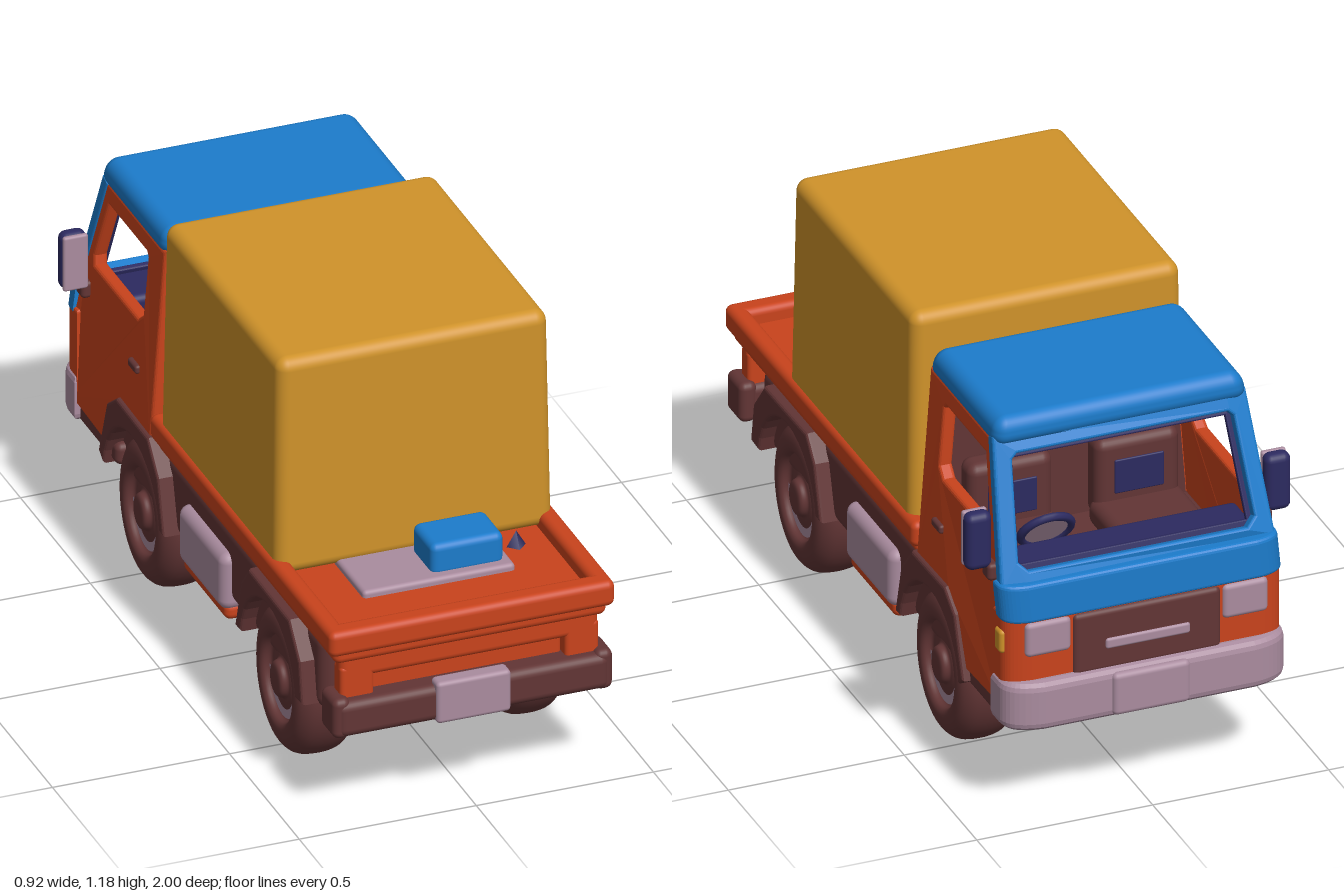
import * as THREE from 'three';
import { RoundedBoxGeometry } from 'three/addons/geometries/RoundedBoxGeometry.js';

const mat = (name, color) => {
  const m = new THREE.MeshStandardMaterial({ color });
  m.name = name;
  return m;
};

export function createModel() {
  const truck = new THREE.Group();
  truck.name = 'truck';
  const orange = mat('orange paint', 0xc9431c);
  const blue = mat('blue paint', 0x1c7ccc);
  const ochre = mat('ochre canvas', 0xd0932a);
  const brown = mat('dark brown', 0x623535);
  const grey = mat('mauve grey', 0xaa8c9f);
  const navy = mat('navy', 0x2c2a60);

  const add = (name, geo, material, parent = truck) => {
    const m = new THREE.Mesh(geo, material);
    m.name = name;
    parent.add(m);
    return m;
  };
  // Rounded box given by its min and max on each axis
  const box = (name, material, [x0, x1], [y0, y1], [z0, z1], r = 0.012) => {
    const w = x1 - x0, h = y1 - y0, d = z1 - z0;
    const g = new RoundedBoxGeometry(w, h, d, 3, Math.min(r, w * 0.45, h * 0.45, d * 0.45));
    g.translate((x0 + x1) / 2, (y0 + y1) / 2, (z0 + z1) / 2);
    return add(name, g, material);
  };
  // A box on each side of the truck
  const pair = (name, material, [x0, x1], y, z, r) => {
    box(name + 'Left', material, [x0, x1], y, z, r);
    box(name + 'Right', material, [-x1, -x0], y, z, r);
  };
  const shapeOf = (pts, hole) => {
    const s = new THREE.Shape(pts.map(p => new THREE.Vector2(...p)));
    if (hole) s.holes.push(new THREE.Path(hole.map(p => new THREE.Vector2(...p))));
    return s;
  };
  const extrude = (shape, depth, b = 0.01) => new THREE.ExtrudeGeometry(shape, {
    depth: depth - 2 * b, bevelEnabled: true, bevelSize: b, bevelThickness: b,
    bevelOffset: -b, bevelSegments: 3, curveSegments: 10,
  }).translate(0, 0, b);
  // Side profile in (z, y), extruded from x0 to x1
  const profile = (pts, x0, x1, hole) =>
    extrude(shapeOf(pts, hole), x1 - x0).rotateY(-Math.PI / 2).translate(x1, 0, 0);
  // Plan with rounded front corners, extruded from y0 to y1
  const plan = (hw, zFront, zBack, r, y0, y1, b) => {
    const s = new THREE.Shape();
    s.moveTo(-hw, zBack);
    s.lineTo(-hw, zFront + r);
    s.quadraticCurveTo(-hw, zFront + r * 0.15, -hw + r * 1.3, zFront);
    s.lineTo(hw - r * 1.3, zFront);
    s.quadraticCurveTo(hw, zFront + r * 0.15, hw, zFront + r);
    s.lineTo(hw, zBack);
    return extrude(s, y1 - y0, b).rotateX(Math.PI / 2).translate(0, y1, 0);
  };
  // Apply a rule to every vertex
  const warp = (g, rule) => {
    const p = g.attributes.position, v = new THREE.Vector3();
    for (let i = 0; i < p.count; i++) {
      rule(v.fromBufferAttribute(p, i));
      p.setXYZ(i, v.x, v.y, v.z);
    }
    return g;
  };
  // Lean the upper cab inwards
  const lean = g => {
    warp(g, v => { v.x -= Math.sign(v.x) * Math.max(0, v.y - 0.55) * 0.08; });
    g.computeVertexNormals();
    return g;
  };

  // Chassis and underside
  box('chassis', brown, [-0.365, 0.365], [0.25, 0.48], [-0.62, 0.82], 0.04);
  box('cabFloor', brown, [-0.385, 0.385], [0.27, 0.335], [-0.92, -0.6], 0.02);
  box('cabBase', brown, [-0.358, 0.358], [0.3, 0.55], [-0.88, -0.34]);
  for (const z of [0.535, -0.445]) {
    const axle = new THREE.CylinderGeometry(0.06, 0.06, 0.5, 20).rotateZ(Math.PI / 2);
    add('axle', axle.translate(0, 0.21, z), brown);
  }
  pair('sideTank', grey, [0.26, 0.394], [0.23, 0.4], [-0.15, 0.175], 0.03);
  pair('tankTray', orange, [0.24, 0.38], [0.2, 0.25], [-0.145, 0.17], 0.02);

  // Load bed with raised rim
  box('bedFloor', orange, [-0.385, 0.385], [0.475, 0.535], [-0.31, 0.965], 0.02);
  pair('bedRim', orange, [0.35, 0.403], [0.505, 0.58], [-0.325, 0.98], 0.02);
  box('bedRimRear', orange, [-0.4, 0.4], [0.505, 0.58], [0.915, 0.98], 0.02);
  box('bedRimFront', orange, [-0.4, 0.4], [0.505, 0.58], [-0.325, -0.27], 0.02);
  box('bedPlate', grey, [-0.22, 0.21], [0.52, 0.555], [0.5, 0.75]);
  box('toolBox', blue, [-0.015, 0.19], [0.54, 0.635], [0.575, 0.72], 0.02);
  add('bedHook', new THREE.ConeGeometry(0.03, 0.05, 4).translate(0.26, 0.555, 0.625), navy);

  // Covered load, narrowing slightly upwards
  const load = new RoundedBoxGeometry(0.783, 0.64, 0.85, 5, 0.035).translate(0, 0.855, 0.14);
  add('canvasLoad', warp(load, v => {
    const k = 1 - 0.025 * (v.y - 0.535) / 0.64;
    v.x *= k;
    v.z = 0.14 + (v.z - 0.14) * k;
  }), ochre);

  // Tail end
  box('tailPanel', orange, [-0.365, 0.365], [0.42, 0.51], [0.9, 0.955], 0.02);
  box('tailRecess', orange, [-0.27, 0.27], [0.34, 0.44], [0.88, 0.925]);
  pair('tailPost', orange, [0.27, 0.365], [0.35, 0.46], [0.9, 0.955]);
  box('rearBumper', brown, [-0.385, 0.385], [0.265, 0.37], [0.885, 0.99], 0.025);
  pair('rearBumperEnd', brown, [0.345, 0.395], [0.262, 0.38], [0.88, 0.985], 0.02);
  box('rearPlate', grey, [-0.11, 0.1], [0.262, 0.385], [0.95, 1.0]);

  // Wheels
  const tyre = [[0, -0.088], [0.12, -0.088], [0.155, -0.08], [0.178, -0.055], [0.186, -0.02],
    [0.186, 0.02], [0.178, 0.055], [0.155, 0.08], [0.125, 0.087], [0.108, 0.08], [0.1, 0.062],
    [0.085, 0.058], [0.06, 0.066], [0.048, 0.07], [0.042, 0.084], [0.03, 0.09], [0, 0.091]];
  const tyreCurve = new THREE.SplineCurve(tyre.map(p => new THREE.Vector2(...p)));
  const tyreGeo = new THREE.LatheGeometry(tyreCurve.getPoints(64), 48).rotateZ(-Math.PI / 2);
  const rimGeo = new THREE.RingGeometry(0.075, 0.097, 24, 1, Math.PI * 1.02, Math.PI * 0.9)
    .rotateY(Math.PI / 2).translate(0.0655, 0, 0);
  for (const z of [0.535, -0.445]) for (const s of [1, -1]) {
    const wheel = new THREE.Group();
    wheel.name = (z > 0 ? 'rear' : 'front') + 'Wheel';
    add('tyre', tyreGeo, brown, wheel);
    add('rimArc', rimGeo, grey, wheel);
    wheel.position.set(s * 0.297, 0.218, z);
    wheel.rotation.y = s > 0 ? 0 : Math.PI;
    wheel.scale.y = 1.17;
    truck.add(wheel);
  }

  // Wheel arches
  const arch = (zc, r, outer) => {
    const inner = [];
    for (let i = 0; i <= 14; i++) {
      const a = Math.PI * (0.04 + 0.92 * i / 14);
      inner.push([zc - Math.cos(a) * r, 0.24 + Math.sin(a) * r * 1.04]);
    }
    return [...outer, ...inner];
  };
  const rearArch = arch(0.535, 0.195, [[0.785, 0.27], [0.765, 0.39], [0.69, 0.48], [0.4, 0.485],
    [0.345, 0.42], [0.3, 0.265]]);
  const frontArch = arch(-0.445, 0.2, [[-0.21, 0.265], [-0.25, 0.42], [-0.325, 0.505], [-0.55, 0.51],
    [-0.62, 0.46], [-0.68, 0.29]]);
  for (const [n, pts] of [['rearFender', rearArch], ['frontFender', frontArch]]) {
    add(n + 'Left', profile(pts, 0.29, 0.408), brown);
    add(n + 'Right', profile(pts, -0.408, -0.29), brown);
  }

  // Cab shell with open windows
  const side = [[-0.33, 0.49], [-0.33, 1.05], [-0.75, 1.05], [-0.85, 0.78], [-0.895, 0.64],
    [-0.9, 0.33], [-0.67, 0.32], [-0.61, 0.46], [-0.55, 0.49]];
  const win = [[-0.44, 0.81], [-0.44, 0.98], [-0.45, 0.99], [-0.72, 0.99], [-0.785, 0.81],
    [-0.78, 0.785], [-0.47, 0.785]];
  add('cabSideLeft', lean(profile(side, 0.358, 0.396, win)), orange);
  add('cabSideRight', lean(profile(side, -0.396, -0.358, win)), orange);
  add('cabBack', lean(new THREE.BoxGeometry(0.75, 0.6, 0.04, 1, 8, 1).translate(0, 0.76, -0.352)), orange);
  add('cabBackLining', lean(new THREE.BoxGeometry(0.7, 0.5, 0.008, 1, 8, 1).translate(0, 0.79, -0.377)), brown);
  add('cabFront', plan(0.396, -0.956, -0.86, 0.055, 0.325, 0.61, 0.008), orange);
  const roof = new RoundedBoxGeometry(0.724, 0.08, 0.465, 4, 0.036).translate(0, 1.07, -0.5575);
  add('roof', warp(roof, v => {
    const k = 1 - Math.max(0, v.y - 1.05) * 0.6;
    v.x *= k;
    v.z = -0.5575 + (v.z + 0.5575) * k;
  }), blue);
  box('headliner', brown, [-0.34, 0.34], [1.02, 1.034], [-0.75, -0.345], 0.004);

  // Windscreen surround, its dark inner lining, and the blue band below
  const bow = g => {
    warp(g.rotateX(0.354).translate(0, 0.6, -0.957), v => { v.z += 0.025 * (v.x / 0.39) ** 4; });
    g.computeVertexNormals();
    return g;
  };
  const frame = shapeOf([[-0.3, 0.04], [0.3, 0.04], [0.392, 0.04], [0.39, 0.09], [0.36, 0.49],
    [0.3, 0.49], [-0.3, 0.49], [-0.36, 0.49], [-0.39, 0.09], [-0.392, 0.04]],
  [[-0.31, 0.125], [-0.335, 0.15], [-0.315, 0.425], [-0.3, 0.44], [0.3, 0.44], [0.315, 0.425], [0.335, 0.15], [0.31, 0.125]]);
  add('windscreenFrame', bow(extrude(frame, 0.038, 0.008)), blue);
  const lining = shapeOf([[-0.345, 0.08], [0.345, 0.08], [0.325, 0.46], [-0.325, 0.46]],
    [[-0.323, 0.14], [-0.303, 0.425], [0.303, 0.425], [0.323, 0.14]]);
  add('windscreenLining', bow(extrude(lining, 0.016, 0.004).translate(0, 0, 0.036)), navy);
  const band = plan(0.398, -0.96, -0.885, 0.055, 0.59, 0.69, 0.01);
  add('frontBand', warp(band, v => { v.z += Math.max(0, v.y - 0.62) * 0.36; }), blue);

  // Front face details
  box('grille', brown, [-0.21, 0.21], [0.41, 0.592], [-0.966, -0.93], 0.015);
  box('grilleBar', grey, [-0.12, 0.12], [0.475, 0.507], [-0.972, -0.95], 0.008);
  pair('headlight', grey, [0.215, 0.345], [0.49, 0.592], [-0.966, -0.92], 0.015);
  box('indicator', ochre, [0.375, 0.403], [0.495, 0.565], [-0.925, -0.88], 0.012);
  add('frontBumper', plan(0.403, -0.988, -0.86, 0.08, 0.275, 0.42, 0.025), grey);
  box('bumperCentre', grey, [-0.11, 0.11], [0.285, 0.41], [-1.0, -0.93], 0.015);
  pair('doorHandle', brown, [0.375, 0.398], [0.635, 0.66], [-0.495, -0.435], 0.008);

  // Cab interior
  box('dashboard', navy, [-0.352, 0.352], [0.54, 0.7], [-0.888, -0.72], 0.02);
  for (const x of [-0.18, 0.18]) {
    box('seatCushion', brown, [x - 0.13, x + 0.13], [0.54, 0.62], [-0.68, -0.42], 0.03);
    box('seatBack', brown, [x - 0.12, x + 0.12], [0.56, 0.8], [-0.47, -0.385], 0.03);
    box('seatPad', navy, [x - 0.07, x + 0.07], [0.64, 0.74], [-0.474, -0.465], 0.004);
  }
  const steering = new THREE.Group();
  steering.name = 'steeringWheel';
  add('steeringRim', new THREE.TorusGeometry(0.07, 0.012, 8, 24), navy, steering);
  add('steeringDisc', new THREE.CylinderGeometry(0.064, 0.064, 0.008, 24).rotateX(Math.PI / 2), grey, steering);
  steering.position.set(0.18, 0.71, -0.7);
  steering.rotation.x = -0.6;
  truck.add(steering);

  // Mirrors
  for (const s of [1, -1]) {
    const span = (a, b) => (s > 0 ? [a, b] : [-b, -a]);
    box('mirrorBody', navy, span(0.388, 0.462), [0.71, 0.878], [-0.845, -0.797], 0.022);
    box('mirrorGlass', grey, span(0.39, 0.46), [0.713, 0.875], [-0.806, -0.79], 0.02);
    box('mirrorArm', brown, span(0.36, 0.405), [0.675, 0.725], [-0.85, -0.8], 0.012);
  }
  // Blue corner on the left mirror glass
  const corner = shapeOf([[0.394, 0.835], [0.445, 0.87], [0.394, 0.87]]);
  add('mirrorCorner', extrude(corner, 0.005, 0.001).translate(0, 0, -0.792), blue);
  return truck;
}
